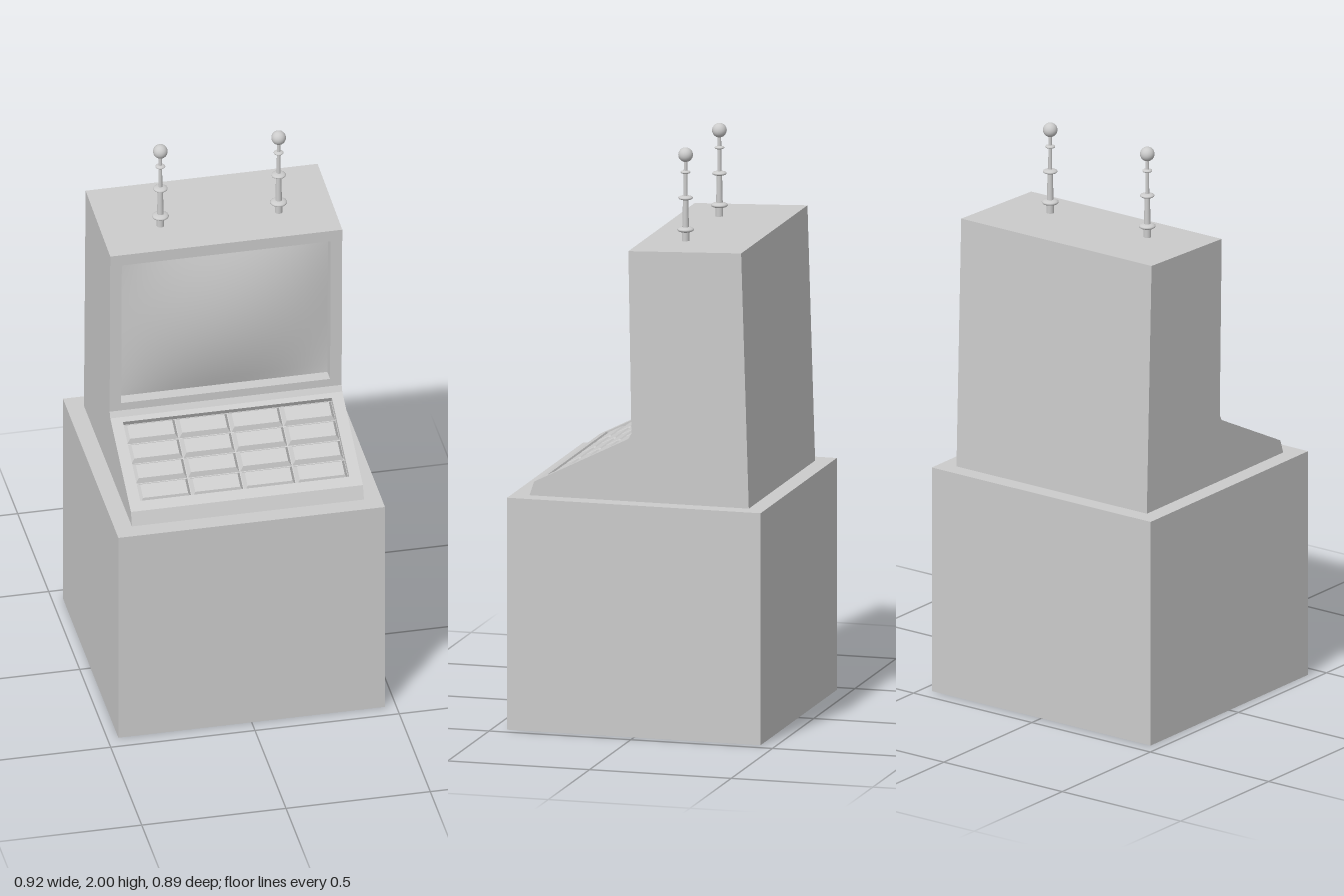
import * as THREE from 'three';

const mat = new THREE.MeshStandardMaterial({ color: 0xcccccc, side: THREE.DoubleSide });

function add(parent, name, geometry, x = 0, y = 0, z = 0) {
  const m = new THREE.Mesh(geometry, mat);
  m.name = name;
  m.position.set(x, y, z);
  parent.add(m);
  return m;
}

// Box with one face left off (0..5 = +x -x +y -y +z -z)
function openBox(w, h, d, face) {
  const g = new THREE.BoxGeometry(w, h, d);
  g.setIndex([...g.index.array].filter((_, i) => Math.floor(i / 6) !== face));
  g.clearGroups();
  return g;
}

function rectPath(w, h, cy = 0, Type = THREE.Shape) {
  return new Type([
    new THREE.Vector2(-w / 2, cy - h / 2), new THREE.Vector2(w / 2, cy - h / 2),
    new THREE.Vector2(w / 2, cy + h / 2), new THREE.Vector2(-w / 2, cy + h / 2),
  ]);
}

// Flat panel spanning profile points a to b (z, y), optionally with a sunken tray
function panel(name, width, a, b, tray) {
  const group = new THREE.Group();
  group.name = name;
  const dir = new THREE.Vector3(0, b[1] - a[1], b[0] - a[0]);
  const length = dir.length();
  dir.normalize();
  const xAxis = new THREE.Vector3(1, 0, 0);
  const normal = xAxis.clone().cross(dir);
  group.quaternion.setFromRotationMatrix(new THREE.Matrix4().makeBasis(xAxis, dir, normal));
  group.position.set(0, (a[1] + b[1]) / 2, (a[0] + b[0]) / 2);
  const shape = rectPath(width, length);
  if (tray) {
    shape.holes.push(rectPath(tray.w, tray.h, tray.y, THREE.Path));
    add(group, name + 'Recess', openBox(tray.w, tray.h, tray.d, 4), 0, tray.y, -tray.d / 2);
  }
  add(group, name + 'Face', new THREE.ShapeGeometry(shape));
  return group;
}

// Key with a smaller top than base
function keyGeometry(w, h, d, inset) {
  const g = new THREE.BoxGeometry(w, h, d);
  const p = g.attributes.position;
  for (let i = 0; i < p.count; i++) {
    if (p.getZ(i) > 0) {
      p.setX(i, p.getX(i) - Math.sign(p.getX(i)) * inset);
      p.setY(i, p.getY(i) - Math.sign(p.getY(i)) * inset);
    }
  }
  g.computeVertexNormals();
  return g;
}

// Convex display glass, sunk at its edges
function screenGeometry(w, h, edge, bulge) {
  const g = new THREE.PlaneGeometry(w, h, 16, 16);
  const p = g.attributes.position;
  for (let i = 0; i < p.count; i++) {
    const u = (2 * p.getX(i)) / w, v = (2 * p.getY(i)) / h;
    p.setZ(i, edge + bulge * (1 - u * u) * (1 - v * v));
  }
  g.computeVertexNormals();
  return g;
}

function antenna(x) {
  const g = new THREE.Group();
  g.name = 'antenna';
  g.position.set(x, 0, -0.11);
  add(g, 'antennaFoot', new THREE.CylinderGeometry(0.013, 0.013, 0.04, 16), 0, 1.69, 0);
  add(g, 'lowerRod', new THREE.CylinderGeometry(0.009, 0.012, 0.12, 16), 0, 1.765, 0);
  add(g, 'upperRod', new THREE.CylinderGeometry(0.006, 0.007, 0.15, 16), 0, 1.895, 0);
  // Rounded collars
  for (const [y, r, t] of [[1.716, 0.029, 0.01], [1.826, 0.025, 0.008], [1.915, 0.017, 0.006]]) {
    add(g, 'collar', new THREE.SphereGeometry(r, 20, 10), 0, y, 0).scale.y = t / r;
  }
  add(g, 'tipBall', new THREE.SphereGeometry(0.025, 20, 14), 0, 1.975, 0);
  return g;
}

export function createModel() {
  const model = new THREE.Group();
  model.name = 'consoleOnPedestal';

  // Pedestal, open underneath
  add(model, 'pedestal', openBox(0.924, 0.804, 0.894, 3), 0, 0.402, 0);

  // Console outline as (z, y), from the front foot up and over to the back
  const W = 0.804;
  const outline = [
    [0.386, 0.804], [0.37, 0.852], [0.037, 1.02], [0.026, 1.04],
    [0.037, 1.671], [-0.361, 1.687], [-0.388, 0.804],
  ];
  const screenTray = { w: 0.724, h: 0.56, d: 0.045, y: -0.006 };
  const keyTray = { w: 0.724, h: 0.314, d: 0.02, y: 0.0095 };
  const names = ['frontLip', 'keyboardPanel', 'hingeStrip', 'screenPanel', 'topPanel', 'backPanel'];
  const trays = { keyboardPanel: keyTray, screenPanel: screenTray };
  const panels = {};
  names.forEach((name, i) => {
    panels[name] = panel(name, W, outline[i], outline[i + 1], trays[name]);
    model.add(panels[name]);
  });

  // Side panels
  const sideShape = new THREE.Shape(outline.map(([z, y]) => new THREE.Vector2(-z, y)));
  for (const s of [-1, 1]) {
    const side = add(model, s > 0 ? 'leftSide' : 'rightSide', new THREE.ShapeGeometry(sideShape), s * W / 2);
    side.rotation.y = Math.PI / 2;
  }

  // Screen
  add(panels.screenPanel, 'screen',
    screenGeometry(screenTray.w, screenTray.h, -0.044, 0.047), 0, screenTray.y, 0);

  // Four by four block of keys
  const px = keyTray.w / 4, py = keyTray.h / 4;
  const key = keyGeometry(px - 0.003, py - 0.003, 0.016, 0.011);
  for (let r = 0; r < 4; r++) {
    for (let c = 0; c < 4; c++) {
      add(panels.keyboardPanel, 'key', key, (c - 1.5) * px, keyTray.y + (r - 1.5) * py, -0.012);
    }
  }

  // Antennas
  model.add(antenna(-0.197), antenna(0.213));
  return model;
}
